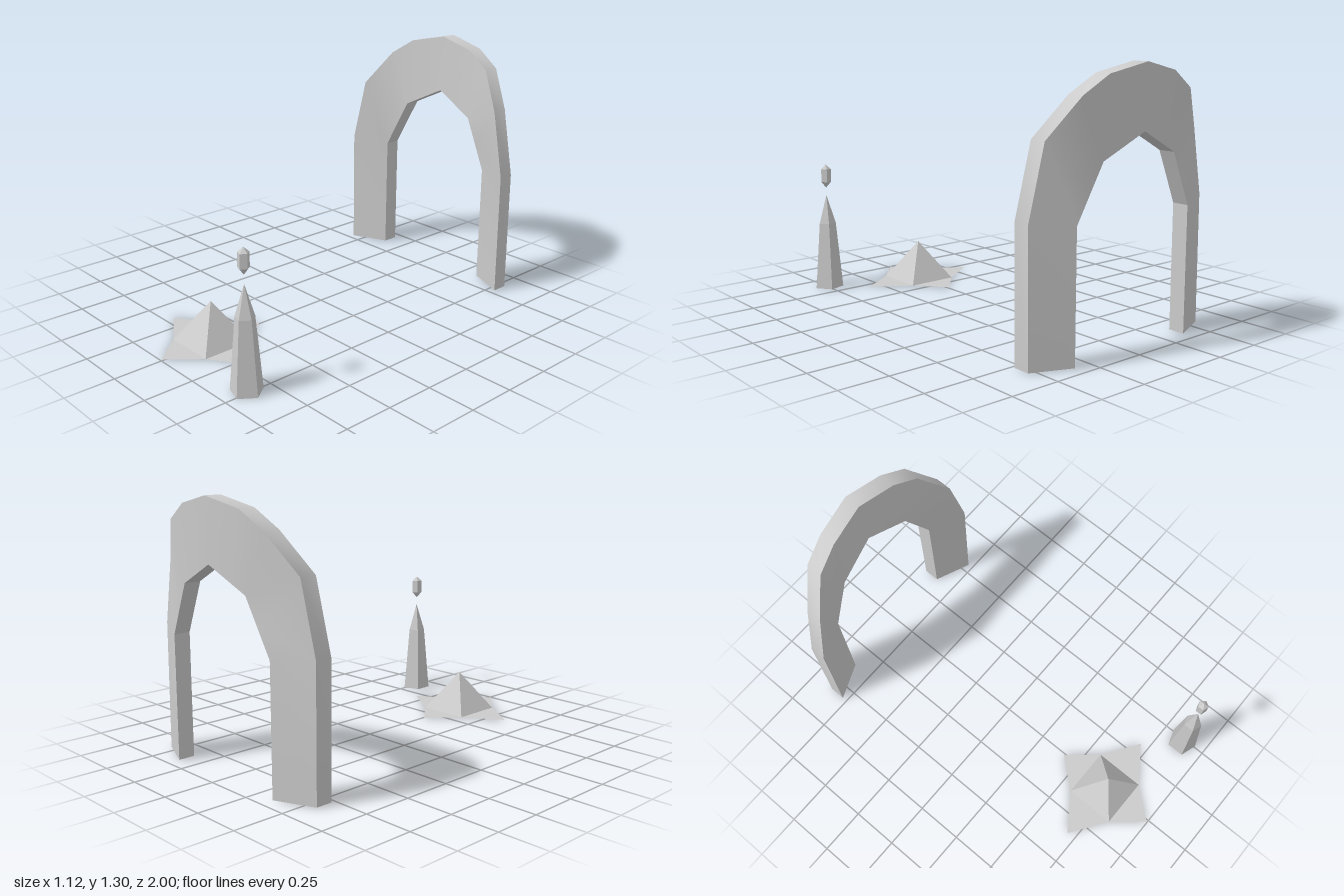
import * as THREE from 'three';
import { toCreasedNormals } from 'three/addons/utils/BufferGeometryUtils.js';

const CENTER_X = -0.01;

function material(options = {}) {
  return new THREE.MeshStandardMaterial({ color: 0xcccccc, ...options });
}

// Turns a list of quads (four corner Vector3s, counter-clockwise) into a geometry
function quadGeometry(quads) {
  const pos = [];
  for (const [a, b, c, d] of quads) {
    for (const p of [a, b, c, a, c, d]) pos.push(p.x, p.y, p.z);
  }
  const geo = new THREE.BufferGeometry();
  geo.setAttribute('position', new THREE.Float32BufferAttribute(pos, 3));
  return geo;
}

// Archway: paired outer and inner outline points of one half, mirrored, swept back towards the crown
function createArch() {
  const thickness = 0.085;
  // [outer x, y, front z, inner x, y, front z] from the foot up to the crown
  const half = [
    [0.553, 0.005, -0.777, 0.358, 0.005, -0.86],
    [0.553, 0.645, -0.773, 0.358, 0.625, -0.86],
    [0.477, 0.985, -0.787, 0.292, 0.757, -0.87],
    [0.342, 1.17, -0.868, 0.226, 0.888, -0.88],
    [0.207, 1.255, -0.89, 0.113, 0.944, -0.893],
    [0, 1.3, -0.915, 0, 1.0, -0.905],
  ];
  const mirrored = half.slice(0, -1).reverse().map(([ox, oy, oz, ix, iy, iz]) => [-ox, oy, oz, -ix, iy, iz]);

  // Four corners of every cross-section
  const sections = [...half, ...mirrored].map(([ox, oy, oz, ix, iy, iz]) => [
    new THREE.Vector3(CENTER_X + ox, oy, oz),
    new THREE.Vector3(CENTER_X + ix, iy, iz),
    new THREE.Vector3(CENTER_X + ix, iy, iz - thickness),
    new THREE.Vector3(CENTER_X + ox, oy, oz - thickness),
  ]);

  const quads = [];
  for (let i = 0; i < sections.length - 1; i++) {
    const s = sections[i], t = sections[i + 1];
    for (let k = 0; k < 4; k++) {
      const n = (k + 1) % 4;
      quads.push([s[k], t[k], t[n], s[n]]);
    }
  }
  // Soles of the two legs
  quads.push([...sections[0]]);
  quads.push([...sections[sections.length - 1]].reverse());

  const mesh = new THREE.Mesh(toCreasedNormals(quadGeometry(quads), 0.45), material());
  mesh.name = 'arch';
  return mesh;
}

// Star base: an open four-sided pyramid with a flat pointed leaf on each side
function createStar() {
  const group = new THREE.Group();
  group.name = 'star';
  const h = 0.135;
  const mat = material({ side: THREE.DoubleSide, flatShading: true });

  const pyramidGeo = new THREE.ConeGeometry(h * Math.SQRT2, 0.21, 4, 1, true, Math.PI / 4);
  pyramidGeo.translate(0, 0.105, 0);
  const pyramid = new THREE.Mesh(pyramidGeo, mat);
  pyramid.name = 'pyramid';
  group.add(pyramid);

  const reach = [0.293, 0.332, 0.293, 0.332];
  reach.forEach((r, i) => {
    const leafShape = new THREE.Shape([
      new THREE.Vector2(-h, -h),
      new THREE.Vector2(0, -r),
      new THREE.Vector2(h, -h),
    ]);
    const geo = new THREE.ShapeGeometry(leafShape);
    geo.rotateX(-Math.PI / 2);
    geo.rotateY(i * Math.PI / 2);
    const leaf = new THREE.Mesh(geo, mat);
    leaf.name = 'starPoint';
    group.add(leaf);
  });

  group.position.set(CENTER_X, 0.001, 0.702);
  return group;
}

// Five-sided crystal turned from a [radius, height] profile, one corner towards +x
function createCrystal(name, profile) {
  const points = profile.map(([r, y]) => new THREE.Vector2(r, y));
  const geo = new THREE.LatheGeometry(points, 5, Math.PI / 2);
  const mesh = new THREE.Mesh(geo, material({ flatShading: true }));
  mesh.name = name;
  mesh.position.set(0.483, 0, 0.87);
  return mesh;
}

export function createModel() {
  const model = new THREE.Group();
  model.name = 'shrine';
  model.add(createArch());
  model.add(createStar());
  model.add(createCrystal('obelisk', [[0, 0], [0.079, 0], [0.047, 0.36], [0, 0.515]]));
  model.add(createCrystal('floatingGem', [[0, 0.557], [0.028, 0.59], [0.028, 0.66], [0, 0.685]]));
  return model;
}
